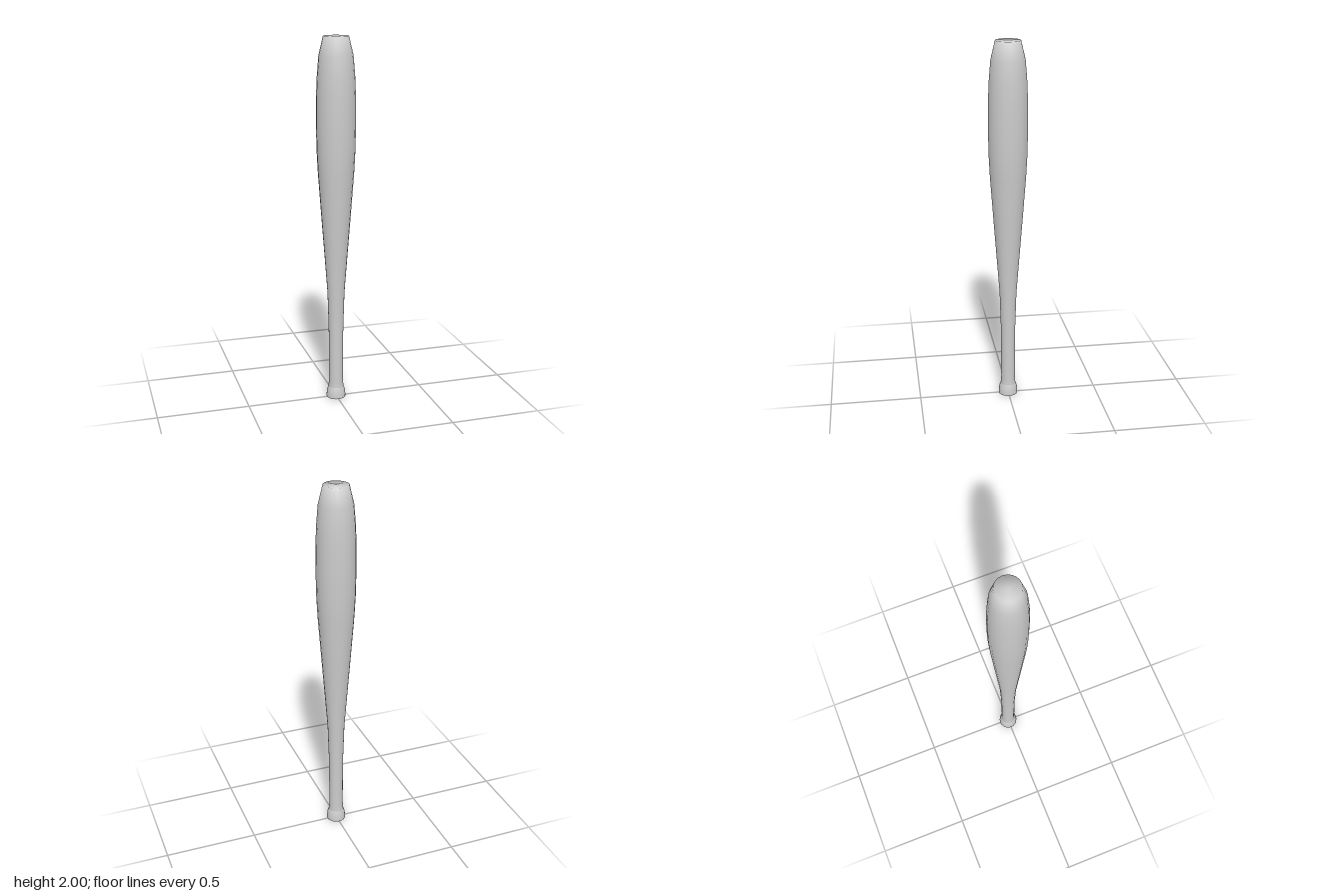
import * as THREE from 'three';

const SIDES = 20;

export function createModel() {
  const group = new THREE.Group();
  group.name = 'bat';
  const material = new THREE.MeshStandardMaterial({ color: 0xcccccc });

  const addLathe = (name, profile) => {
    const points = profile.map(([r, y]) => new THREE.Vector2(r, y));
    const mesh = new THREE.Mesh(new THREE.LatheGeometry(points, SIDES), material);
    mesh.name = name;
    group.add(mesh);
  };

  // Flared knob with a flat, sharp-edged base
  addLathe('knobBase', [[0, 0], [0.053, 0]]);
  addLathe('knob', [[0.053, 0], [0.053, 0.012], [0.05, 0.04], [0.042, 0.062]]);

  // Slim handle swelling into the barrel, closed by a softly shaded flat tip
  addLathe('handleAndBarrel', [
    [0.042, 0.062], [0.039, 0.1], [0.039, 0.3], [0.041, 0.43], [0.047, 0.62],
    [0.062, 0.82], [0.078, 1.03], [0.097, 1.29], [0.103, 1.41], [0.105, 1.54],
    [0.104, 1.69], [0.1, 1.79], [0.091, 1.9], [0.067, 2], [0, 2],
  ]);

  return group;
}
